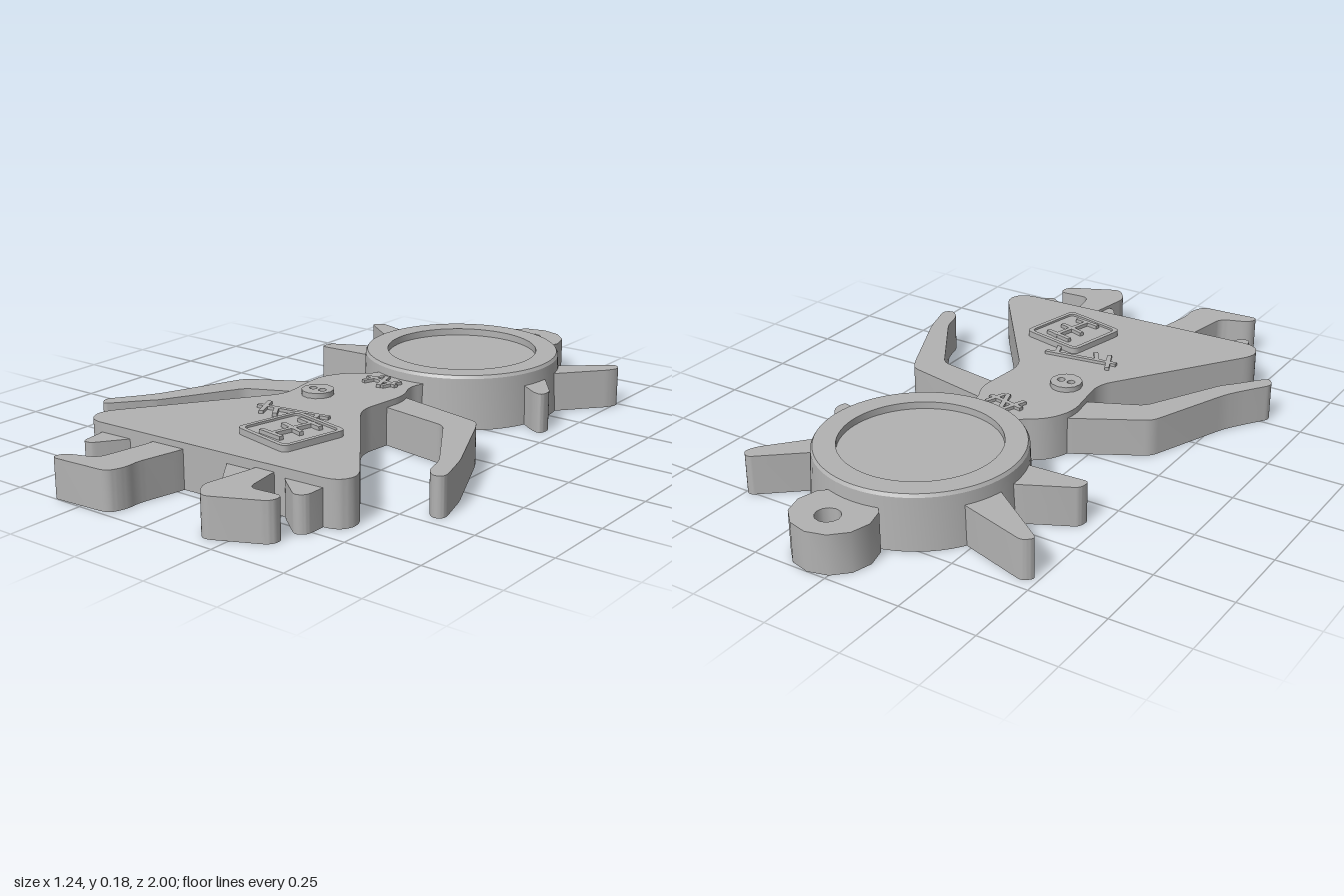
import * as THREE from 'three';
import { toCreasedNormals } from 'three/addons/utils/BufferGeometryUtils.js';

// Closed outline in (x, z) with each corner rounded by up to r
function outline(pts, r) {
  const s = new THREE.Shape();
  const v = pts.map(([x, z]) => new THREE.Vector2(x, z));
  v.forEach((p, i) => {
    const toward = (q) => {
      const d = q.clone().sub(p);
      return p.clone().add(d.setLength(Math.min(r, d.length() * 0.45)));
    };
    const a = toward(v[(i + v.length - 1) % v.length]);
    const b = toward(v[(i + 1) % v.length]);
    if (i === 0) s.moveTo(a.x, a.y);
    else s.lineTo(a.x, a.y);
    s.quadraticCurveTo(p.x, p.y, b.x, b.y);
  });
  s.closePath();
  return s;
}

// Upright slab between heights y0 and y1
function slab(shape, y0, y1) {
  const g = new THREE.ExtrudeGeometry(shape, { depth: y1 - y0, bevelEnabled: false, curveSegments: 6 });
  g.rotateX(Math.PI / 2);
  g.translate(0, y1, 0);
  return toCreasedNormals(g, 0.6);
}

function disc(x, z, r) {
  const s = new THREE.Shape();
  s.absarc(x, z, r, 0, Math.PI * 2, false);
  return s;
}

function hole(x, z, r) {
  const p = new THREE.Path();
  p.absarc(x, z, r, 0, Math.PI * 2, true);
  return p;
}

export function createModel() {
  const group = new THREE.Group();
  const grey = new THREE.MeshStandardMaterial({ color: 0xb2b2b2 });
  grey.name = 'plain grey';
  const add = (name, geometry) => {
    const m = new THREE.Mesh(geometry, grey);
    m.name = name;
    group.add(m);
    return m;
  };

  // Head: round dish with a raised rim
  const profile = [[0, 0], [0.333, 0], [0.325, 0.17], [0.319, 0.18], [0.25, 0.18], [0.25, 0.157], [0, 0.157]];
  const head = new THREE.LatheGeometry(profile.map(([x, y]) => new THREE.Vector2(x, y)), 64);
  add('head', toCreasedNormals(head, 0.4)).position.set(0.05, 0, -0.475);

  // Hanging loop
  const loop = disc(0.063, -0.872, 0.128);
  loop.holes.push(hole(0.063, -0.897, 0.039));
  add('hangingLoop', slab(loop, 0, 0.13));

  // Hair spikes
  const spikes = {
    upperRightSpike: [[-0.12, -0.59], [-0.23, -0.65], [-0.46, -0.72], [-0.49, -0.69], [-0.27, -0.53], [-0.12, -0.45]],
    upperLeftSpike: [[0.2, -0.54], [0.31, -0.62], [0.48, -0.765], [0.51, -0.74], [0.495, -0.7], [0.35, -0.53], [0.2, -0.42]],
    lowerRightSpike: [[-0.15, -0.5], [-0.28, -0.475], [-0.45, -0.39], [-0.455, -0.345], [-0.27, -0.355], [-0.15, -0.36]],
    lowerLeftSpike: [[0.25, -0.56], [0.38, -0.475], [0.46, -0.37], [0.455, -0.325], [0.42, -0.335], [0.35, -0.385], [0.25, -0.42]],
  };
  for (const [name, pts] of Object.entries(spikes)) add(name, slab(outline(pts, 0.018), 0, 0.13));

  // Neck, bodice and skirt in one piece
  add('dress', slab(outline([
    [-0.07, -0.25], [-0.07, -0.16], [-0.16, -0.1], [-0.2, -0.01], [-0.17, 0.19], [-0.505, 0.67], [-0.47, 0.742],
    [0.435, 0.7], [0.465, 0.635], [0.12, 0.18], [0.14, -0.02], [0.1, -0.1], [0.12, -0.17], [0.12, -0.25],
  ], 0.05), 0, 0.145));

  // Bent arms with narrow hands
  add('rightArm', slab(outline([
    [-0.1, -0.07], [-0.19, -0.03], [-0.42, 0.1], [-0.53, 0.38], [-0.56, 0.43], [-0.63, 0.53],
    [-0.6, 0.57], [-0.51, 0.46], [-0.49, 0.44], [-0.35, 0.18], [-0.17, 0.095], [-0.08, 0.08],
  ], 0.025), 0, 0.125));
  add('leftArm', slab(outline([
    [0.05, -0.07], [0.14, -0.05], [0.43, 0.01], [0.455, 0.05], [0.58, 0.32], [0.62, 0.45],
    [0.59, 0.47], [0.555, 0.44], [0.535, 0.36], [0.37, 0.1], [0.12, 0.06], [0.05, 0.06],
  ], 0.025), 0, 0.125));

  // Legs with turned-out feet
  add('rightLeg', slab(outline([
    [-0.22, 0.65], [-0.22, 0.74], [-0.25, 0.92], [-0.35, 0.955], [-0.36, 1.0], [-0.15, 0.985],
    [-0.13, 0.93], [-0.135, 0.88], [-0.105, 0.73], [-0.1, 0.65],
  ], 0.03), 0, 0.125));
  add('leftLeg', slab(outline([
    [0.16, 0.65], [0.16, 0.72], [0.13, 0.9], [0.18, 0.965], [0.36, 0.88], [0.36, 0.83],
    [0.245, 0.84], [0.225, 0.72], [0.22, 0.65],
  ], 0.03), 0, 0.125));

  // Ragged underskirt tips
  const rags = [
    [[-0.43, 0.68], [-0.41, 0.83], [-0.38, 0.83], [-0.3, 0.72], [-0.3, 0.66]],
    [[0.05, 0.66], [0.05, 0.71], [0.13, 0.82], [0.16, 0.81], [0.17, 0.66]],
    [[0.24, 0.64], [0.26, 0.71], [0.36, 0.79], [0.39, 0.77], [0.39, 0.64]],
  ];
  rags.forEach((pts) => add('underskirtTip', slab(outline(pts, 0.02), 0, 0.115)));

  // Button with two thread holes
  const button = disc(-0.087, 0.132, 0.052);
  for (const x of [-0.105, -0.068]) button.holes.push(hole(x, 0.132, 0.013));
  add('button', slab(button, 0.14, 0.162));

  // Square patch with a low rim, turned slightly on the skirt
  const patch = new THREE.Group();
  patch.name = 'patch';
  patch.position.set(0.097, 0, 0.483);
  patch.rotation.y = -0.22;
  group.add(patch);
  const square = (h) => [[-h, -h], [h, -h], [h, h], [-h, h]];
  const rim = outline(square(0.114), 0.025);
  rim.holes.push(outline(square(0.1), 0.02));
  patch.add(add('patchRim', slab(rim, 0.14, 0.165)));
  patch.add(add('patchCloth', slab(outline(square(0.102), 0.02), 0.14, 0.158)));

  // Stitches: thin bars given as x0, z0, x1, z1
  const stitch = (name, y, rows) => rows.forEach(([x0, z0, x1, z1]) => {
    const bar = add(name, new THREE.BoxGeometry(Math.hypot(x1 - x0, z1 - z0), 0.02, 0.015));
    bar.position.set((x0 + x1) / 2, y, (z0 + z1) / 2);
    bar.rotation.y = -Math.atan2(z1 - z0, x1 - x0);
  });
  stitch('neckStitch', 0.145, [
    [-0.06, -0.095, 0.07, -0.07], [-0.045, -0.05, -0.015, -0.13], [0.025, -0.035, -0.005, -0.13], [0.035, -0.04, 0.06, -0.11],
  ]);
  stitch('waistStitch', 0.145, [
    [-0.15, 0.345, 0.1, 0.31], [-0.14, 0.3, -0.1, 0.39], [-0.08, 0.34, -0.05, 0.385], [0.06, 0.31, 0.08, 0.37],
  ]);
  stitch('patchStitch', 0.16, [
    [0.125, 0.41, 0.085, 0.56], [0.065, 0.405, 0.165, 0.43], [0.055, 0.47, 0.15, 0.5], [0.04, 0.55, 0.13, 0.565],
  ]);
  return group;
}
